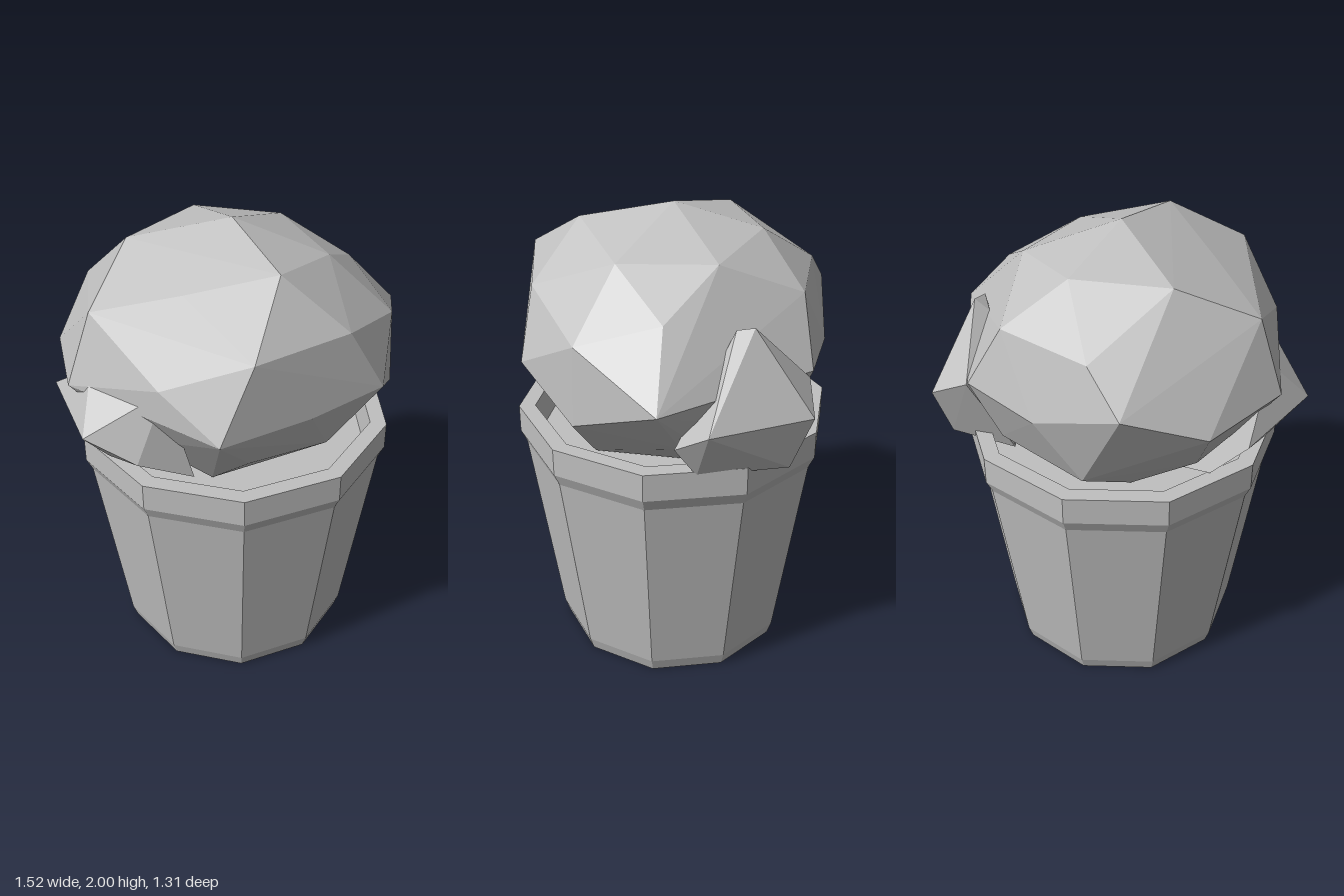
import * as THREE from 'three';
import { ConvexGeometry } from 'three/addons/geometries/ConvexGeometry.js';

export function createModel() {
  const model = new THREE.Group();
  const grey = new THREE.MeshStandardMaterial({ color: 0xc0c0c0 });
  grey.name = 'plainGrey';

  const add = (name, geometry) => {
    const mesh = new THREE.Mesh(geometry, grey);
    mesh.name = name;
    model.add(mesh);
    return mesh;
  };
  // faceted lump spanned by a few corner points
  const lump = (name, corners) =>
    add(name, new ConvexGeometry(corners.map((c) => new THREE.Vector3(...c))));

  // ten-sided tub with a rolled rim and a shallow inner floor
  const profile = [
    [0, 0], [0.5, 0], [0.52, 0.06], [0.645, 0.945], [0.67, 1.0],
    [0.67, 1.12], [0.6, 1.12], [0.58, 1.0], [0, 1.0],
  ].map((p) => new THREE.Vector2(...p));
  const tub = new THREE.LatheGeometry(profile, 10, Math.PI / 10).toNonIndexed();
  tub.computeVertexNormals();
  add('tub', tub).position.set(-0.03, 0, -0.02);

  // large scoop, listed from the crown down
  const crown = [
    [-0.03, 2, -0.02], [0.01, 1.93, 0.36], [0.315, 1.85, 0.145],
    [0.28, 1.86, -0.25], [-0.06, 1.9, -0.38], [-0.41, 1.9, -0.2], [-0.32, 1.835, 0.21],
  ];
  const shoulder = [
    [-0.2, 1.74, 0.62], [0.24, 1.71, 0.505], [0.555, 1.6, 0.26], [0.525, 1.7, -0.08],
    [0.12, 1.71, -0.57], [-0.3, 1.71, -0.57], [-0.645, 1.745, 0.045], [-0.5, 1.58, 0.42],
  ];
  const belly = [
    [0.76, 1.44, -0.1], [0.39, 1.44, 0.52], [0.04, 1.44, 0.61], [-0.35, 1.44, 0.655],
    [-0.755, 1.445, 0.055], [-0.69, 1.42, -0.34], [-0.48, 1.56, -0.61],
    [-0.1, 1.42, -0.655], [0.26, 1.44, -0.63],
  ];
  const underside = [
    [-0.16, 1.19, 0.48], [0.18, 1.19, 0.47], [0.57, 1.27, 0.27], [0.53, 1.19, -0.15],
    [0.2, 1.15, -0.52], [-0.25, 1.15, -0.55], [-0.55, 1.17, -0.2], [-0.5, 1.17, 0.15],
    [0.3, 1.01, 0.25], [-0.25, 1.01, 0.3], [-0.3, 1.01, -0.3], [0.3, 1.01, -0.3],
  ];
  lump('largeScoop', [...crown, ...shoulder, ...belly, ...underside]);

  // small chunk tucked in on the right
  lump('rightChunk', [
    [-0.765, 1.33, 0.265], [-0.465, 1.545, 0.38], [-0.67, 1.53, 0.1],
    [-0.76, 1.32, -0.17], [-0.59, 1.24, 0.39], [-0.37, 1.14, 0.42],
    [-0.64, 1.13, 0.15], [-0.6, 1.13, -0.18], [-0.35, 1.02, 0.25], [-0.4, 1.02, -0.1],
  ]);

  // small chunk tucked in at the back left
  lump('backLeftChunk', [
    [0.41, 1.67, -0.41], [0.42, 1.66, -0.34], [0.36, 1.62, -0.38],
    [0.45, 1.33, -0.655], [0.68, 1.33, -0.28], [0.62, 1.235, -0.14],
    [0.28, 1.42, -0.62], [0.44, 1.1, -0.57], [0.57, 1.1, -0.22],
    [0.2, 1.05, -0.45], [0.4, 1.02, -0.2],
  ]);

  return model;
}
